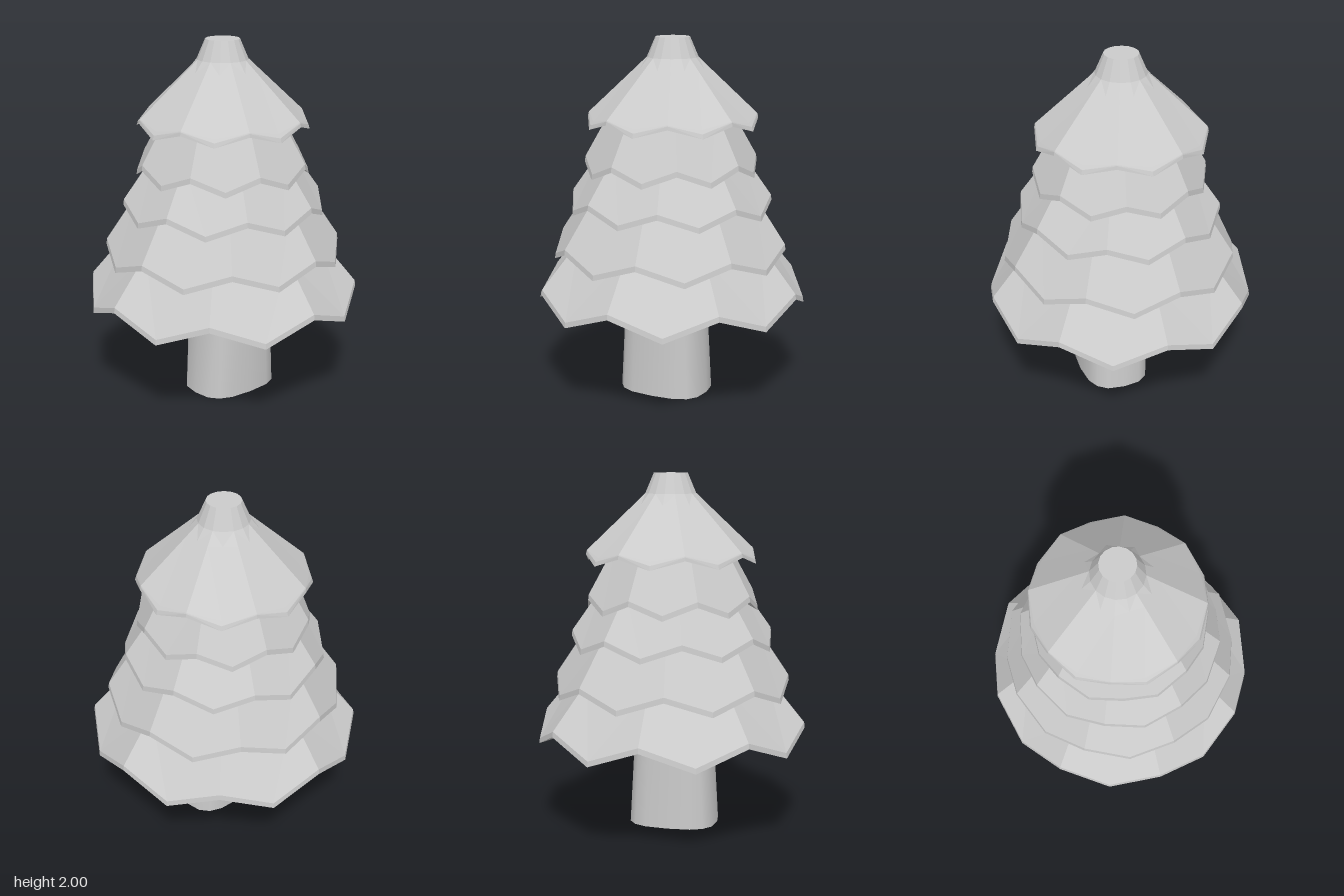
import * as THREE from 'three';
import { mergeVertices } from 'three/addons/utils/BufferGeometryUtils.js';

const SIDES = 16;
const FLAT = Math.cos(Math.PI / 8); // mid-side to corner ratio of an octagon

// An octagonal ring with its corners above the notches.
const octagon = (r, y) => [r * FLAT, y, r, y];

// Lofts 16-sided rings; each ring is [radiusTip, yTip, radiusNotch, yNotch],
// alternating between the hanging tips and the notches between them.
function loft(rings, turn, closed) {
  const pos = [], index = [];
  for (const [rt, yt, rn = rt, yn = yt] of rings) {
    for (let i = 0; i < SIDES; i++) {
      const a = THREE.MathUtils.degToRad(turn) + (i / SIDES) * Math.PI * 2;
      const tip = i % 2 === 0;
      const r = tip ? rt : rn;
      pos.push(r * Math.sin(a), tip ? yt : yn, r * Math.cos(a));
    }
  }
  const count = closed ? rings.length : rings.length - 1;
  for (let k = 0; k < count; k++) {
    const n = (k + 1) % rings.length;
    for (let i = 0; i < SIDES; i++) {
      const j = (i + 1) % SIDES;
      const a = k * SIDES + i, b = k * SIDES + j;
      const c = n * SIDES + i, d = n * SIDES + j;
      // Mirrored diagonals keep both halves of a panel alike
      if (i % 2 === 0) index.push(a, c, b, b, c, d);
      else index.push(a, c, d, a, d, b);
    }
  }
  const geo = new THREE.BufferGeometry();
  geo.setAttribute('position', new THREE.Float32BufferAttribute(pos, 3));
  geo.setIndex(index);
  geo.computeVertexNormals();
  return geo;
}

// Open tube with a rounded-box section, tapering front to back only
function trunkGeometry() {
  const tube = new THREE.CylinderGeometry(1, 1, 0.75, 16, 1, true);
  tube.deleteAttribute('uv');
  tube.deleteAttribute('normal');
  const geo = mergeVertices(tube);
  const square = (v) => Math.sign(v) * Math.abs(v) ** 0.7;
  const p = geo.attributes.position;
  for (let i = 0; i < p.count; i++) {
    const y = p.getY(i) + 0.375;
    p.setXYZ(i, 0.06 + square(p.getX(i)) * 0.19, y, square(p.getZ(i)) * (0.253 - 0.06 * y));
  }
  geo.computeVertexNormals();
  return geo;
}

export function createModel() {
  const tree = new THREE.Group();
  tree.name = 'tree';
  const leafMat = new THREE.MeshStandardMaterial({ color: 0xcccccc, flatShading: true });
  const barkMat = new THREE.MeshStandardMaterial({ color: 0xcccccc, side: THREE.DoubleSide });

  const add = (name, geo, mat) => {
    const mesh = new THREE.Mesh(geo, mat);
    mesh.name = name;
    tree.add(mesh);
    return mesh;
  };

  add('trunk', trunkGeometry(), barkMat);

  // Skirts of branches: tip turn, rim radius, tip y, notch y, upper radius and y, inner radius and y
  const skirts = [
    { turn: 22.5, r: 0.757, low: 0.5, high: 0.605, topR: 0.54, topY: 0.89, inR: 0.225, inY: 0.65 },
    { turn: -13, r: 0.658, low: 0.765, high: 0.85, topR: 0.48, topY: 1.14, inR: 0.4, inY: 0.89 },
    { turn: -4, r: 0.563, low: 1.03, high: 1.105, topR: 0.385, topY: 1.38, inR: 0.34, inY: 1.14 },
    { turn: 7, r: 0.48, low: 1.245, high: 1.315, topR: 0.315, topY: 1.63, inR: 0.29, inY: 1.35 },
  ];
  skirts.forEach((s, i) => {
    add(`branchSkirt${i + 1}`, loft([
      octagon(s.topR, s.topY),
      [s.r - 0.004, s.low + 0.03, s.r - 0.004, s.high + 0.03],
      [s.r, s.low, s.r, s.high],
      [s.inR, s.inY],
    ], s.turn, true), leafMat);
  });

  // Crown: flat-topped round neck flaring into the uppermost octagonal skirt
  const crown = add('crown', loft([
    [0, 2],
    [0.095, 2],
    [0.142, 1.89],
    octagon(0.205, 1.83),
    [0.455, 1.555, 0.465, 1.585],
    [0.472, 1.535, 0.468, 1.58],
    [0.48, 1.51, 0.472, 1.56],
    [0.27, 1.61],
    [0, 1.61],
  ], 0, false), leafMat);
  crown.position.set(-0.008, 0, -0.006);

  return tree;
}
